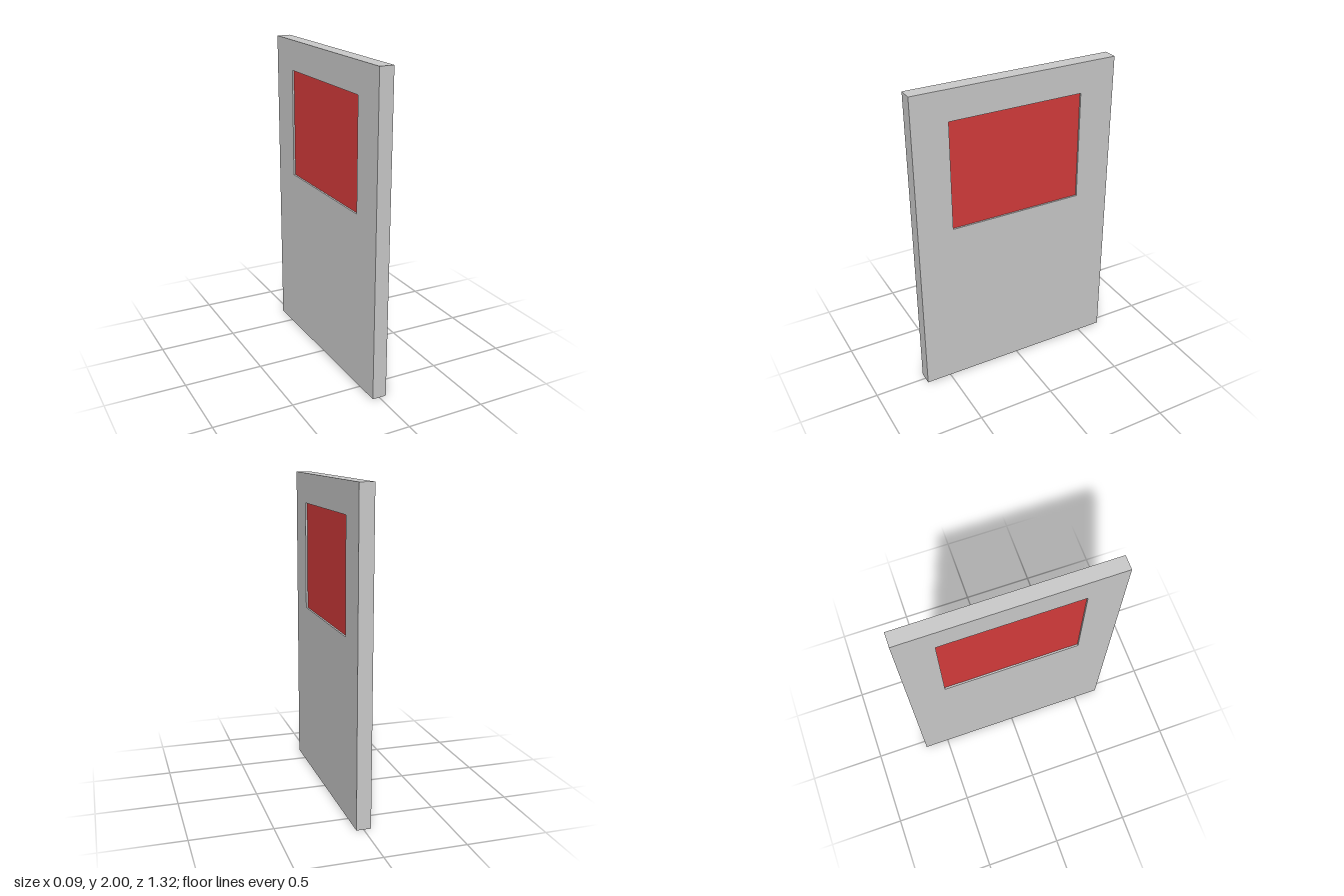
import * as THREE from 'three';

const HEIGHT = 2, WIDTH = 1.324, THICK = 0.09;
const WIN = { width: 0.868, bottom: 1.11, top: 1.808, thick: 0.068 };

// Adds a rectangle outline, centred on x, to a shape or hole
function rect(path, width, bottom, top) {
  const h = width / 2;
  path.moveTo(-h, bottom);
  path.lineTo(h, bottom);
  path.lineTo(h, top);
  path.lineTo(-h, top);
  path.closePath();
  return path;
}

export function createModel() {
  const group = new THREE.Group();
  group.name = 'door';

  // Door slab with the window opening cut through it
  const outline = rect(new THREE.Shape(), WIDTH, 0, HEIGHT);
  outline.holes.push(rect(new THREE.Path(), WIN.width, WIN.bottom, WIN.top));
  const slabGeometry = new THREE.ExtrudeGeometry(outline, { depth: THICK, bevelEnabled: false });
  slabGeometry.translate(0, 0, -THICK / 2).rotateY(Math.PI / 2);
  const slab = new THREE.Mesh(slabGeometry, new THREE.MeshStandardMaterial({ color: 0xcccccc }));
  slab.name = 'doorSlab';
  group.add(slab);

  // Red pane, slightly recessed on both faces
  const pane = new THREE.Mesh(
    new THREE.BoxGeometry(WIN.thick, WIN.top - WIN.bottom, WIN.width),
    new THREE.MeshStandardMaterial({ color: 0xd63c3c })
  );
  pane.name = 'windowPane';
  pane.position.y = (WIN.top + WIN.bottom) / 2;
  group.add(pane);

  return group;
}
